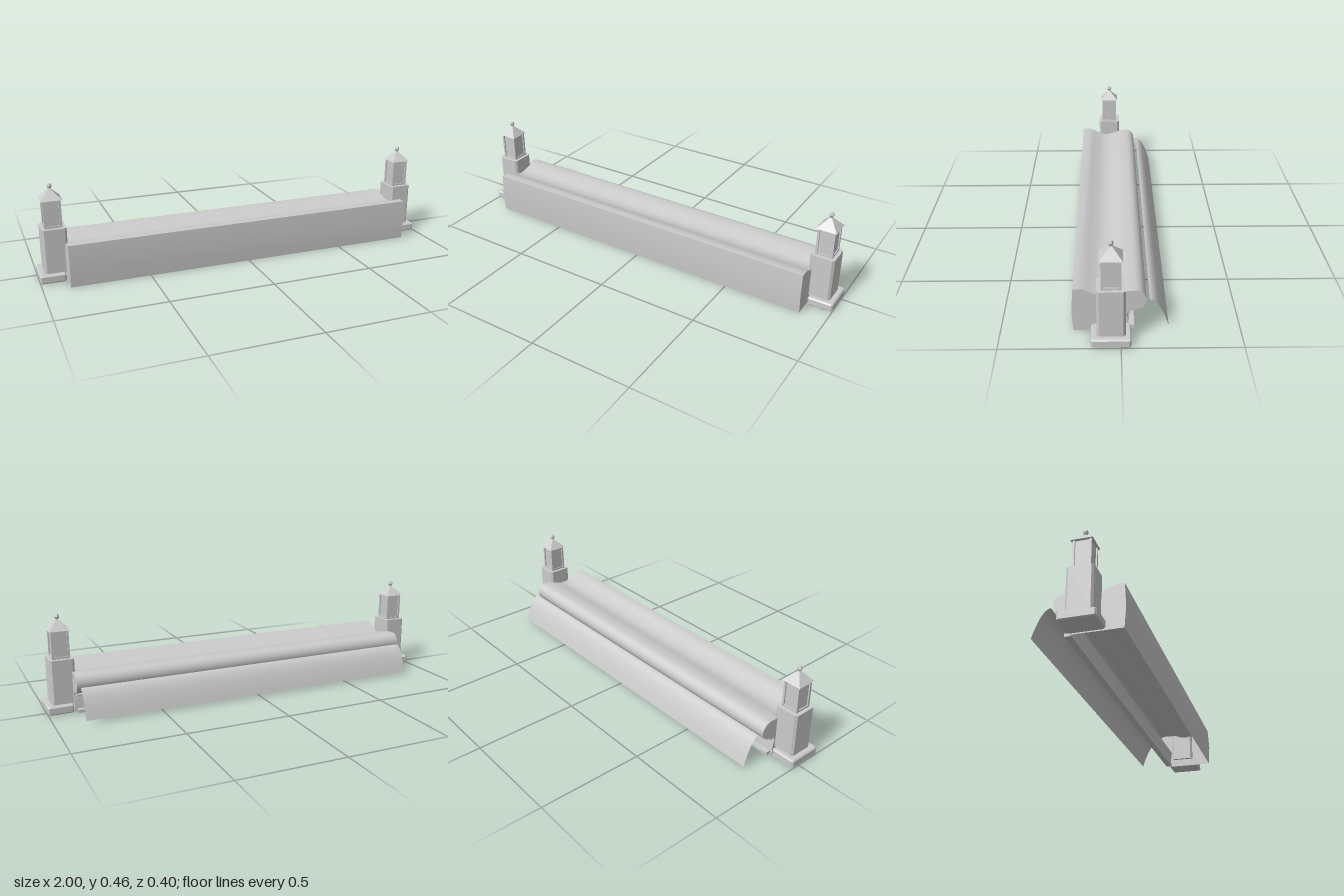
import * as THREE from 'three';
import { toCreasedNormals } from 'three/addons/utils/BufferGeometryUtils.js';

const solid = new THREE.MeshStandardMaterial({ color: 0xcccccc });
const thin = new THREE.MeshStandardMaterial({ color: 0xcccccc, side: THREE.DoubleSide });

function add(parent, name, geometry, x, y, z, material = solid) {
  const mesh = new THREE.Mesh(geometry, material);
  mesh.name = name;
  mesh.position.set(x, y, z);
  parent.add(mesh);
  return mesh;
}

// Sweeps a (z, y) profile along x as an open surface
function sweep(profile, half) {
  const g = new THREE.PlaneGeometry(1, 1, 1, profile.length - 1);
  const p = g.attributes.position;
  profile.forEach(([z, y], i) => {
    p.setXYZ(2 * i, -half, y, z);
    p.setXYZ(2 * i + 1, half, y, z);
  });
  return toCreasedNormals(g, 0.5);
}

// Upright prism on a rectangle with cut corners, with an optional bevel
function chamferedPrism(w, d, h, cut, bevel = 0) {
  const x = w / 2 - bevel, y = d / 2 - bevel;
  const shape = new THREE.Shape([
    [x - cut, -y], [x, -y + cut], [x, y - cut], [x - cut, y],
    [-x + cut, y], [-x, y - cut], [-x, -y + cut], [-x + cut, -y],
  ].map(([a, b]) => new THREE.Vector2(a, b)));
  const g = new THREE.ExtrudeGeometry(shape, {
    depth: h - 2 * bevel, bevelEnabled: bevel > 0,
    bevelSize: bevel, bevelThickness: bevel, bevelSegments: 1,
  });
  return g.rotateX(-Math.PI / 2).translate(0, bevel, 0);
}

function createPillar() {
  const pillar = new THREE.Group();
  add(pillar, 'plinth', chamferedPrism(0.12, 0.164, 0.04, 0.004, 0.006), 0, 0, 0);
  add(pillar, 'shaft', chamferedPrism(0.114, 0.118, 0.212, 0.01), 0, 0.04, 0);

  // Lantern: recessed core framed by posts and sills
  add(pillar, 'lanternCore', new THREE.BoxGeometry(0.07, 0.135, 0.07), 0, 0.3185, 0);
  for (const sx of [-1, 1]) for (const sz of [-1, 1])
    add(pillar, 'lanternPost', new THREE.BoxGeometry(0.01, 0.135, 0.01), sx * 0.036, 0.3185, sz * 0.036);
  add(pillar, 'lanternSill', new THREE.BoxGeometry(0.08, 0.01, 0.08), 0, 0.256, 0);

  // Pyramid roof and faceted finial
  const roof = new THREE.ConeGeometry(0.048 * Math.SQRT2, 0.052, 4, 1).rotateY(Math.PI / 4);
  add(pillar, 'roof', toCreasedNormals(roof, 0.3), 0, 0.41, 0);
  const ball = new THREE.LatheGeometry([
    [0, 0], [0.007, 0], [0.0125, 0.012], [0.008, 0.023], [0, 0.026],
  ].map(([r, y]) => new THREE.Vector2(r, y)), 6);
  add(pillar, 'finial', toCreasedNormals(ball, 0.3), 0, 0.432, 0);
  return pillar;
}

export function createModel() {
  const model = new THREE.Group();
  model.name = 'wallWithPillars';

  // Wall shell: front panel, ledge, hollowed top, rounded back lip, back panel; open below
  const profile = [[0.197, 0], [0.203, 0.1], [0.197, 0.202], [0.16, 0.203], [0.135, 0.192],
    [0.1, 0.177], [0.07, 0.171], [0.04, 0.173], [0.01, 0.183], [-0.02, 0.191]];
  for (let i = 0; i <= 10; i++) {
    const a = Math.PI / 2 - (i / 10) * Math.PI * 0.92;
    profile.push([-0.06 - 0.046 * Math.cos(a), 0.148 + 0.046 * Math.sin(a)]);
  }
  profile.push([-0.053, 0.1], [-0.025, 0.085], [-0.033, 0.04], [-0.035, 0]);
  const half = 0.876;
  add(model, 'wallShell', sweep(profile, half), 0, 0, 0, thin);
  const end = new THREE.Shape(profile.map(([z, y]) => new THREE.Vector2(z, y)));
  for (const s of [-1, 1])
    add(model, 'wallEnd', new THREE.ShapeGeometry(end).rotateY(-Math.PI / 2), s * half, 0, 0, thin);

  // Thin curved sheet falling behind the lip
  const fall = [];
  for (let i = 0; i <= 10; i++) {
    const t = i / 10;
    fall.push([-0.12 - 0.081 * t, 0.142 - 0.13 * t * t]);
  }
  add(model, 'fallingSheet', sweep(fall, 0.863), 0, 0, 0, thin);

  // Rails along the back
  add(model, 'lowerRail', new THREE.BoxGeometry(1.73, 0.015, 0.03), 0, 0.0075, -0.042);
  add(model, 'upperRail', new THREE.BoxGeometry(1.73, 0.01, 0.015), 0, 0.08, -0.034);

  for (const [s, name] of [[1, 'leftPillar'], [-1, 'rightPillar']]) {
    const pillar = createPillar();
    pillar.name = name;
    pillar.position.set(s * 0.94, 0, 0.04);
    // The plinth reaches further out than the shaft
    for (const part of pillar.children)
      if (part.name !== 'plinth') part.position.x -= s * 0.022;
    model.add(pillar);
  }
  return model;
}
